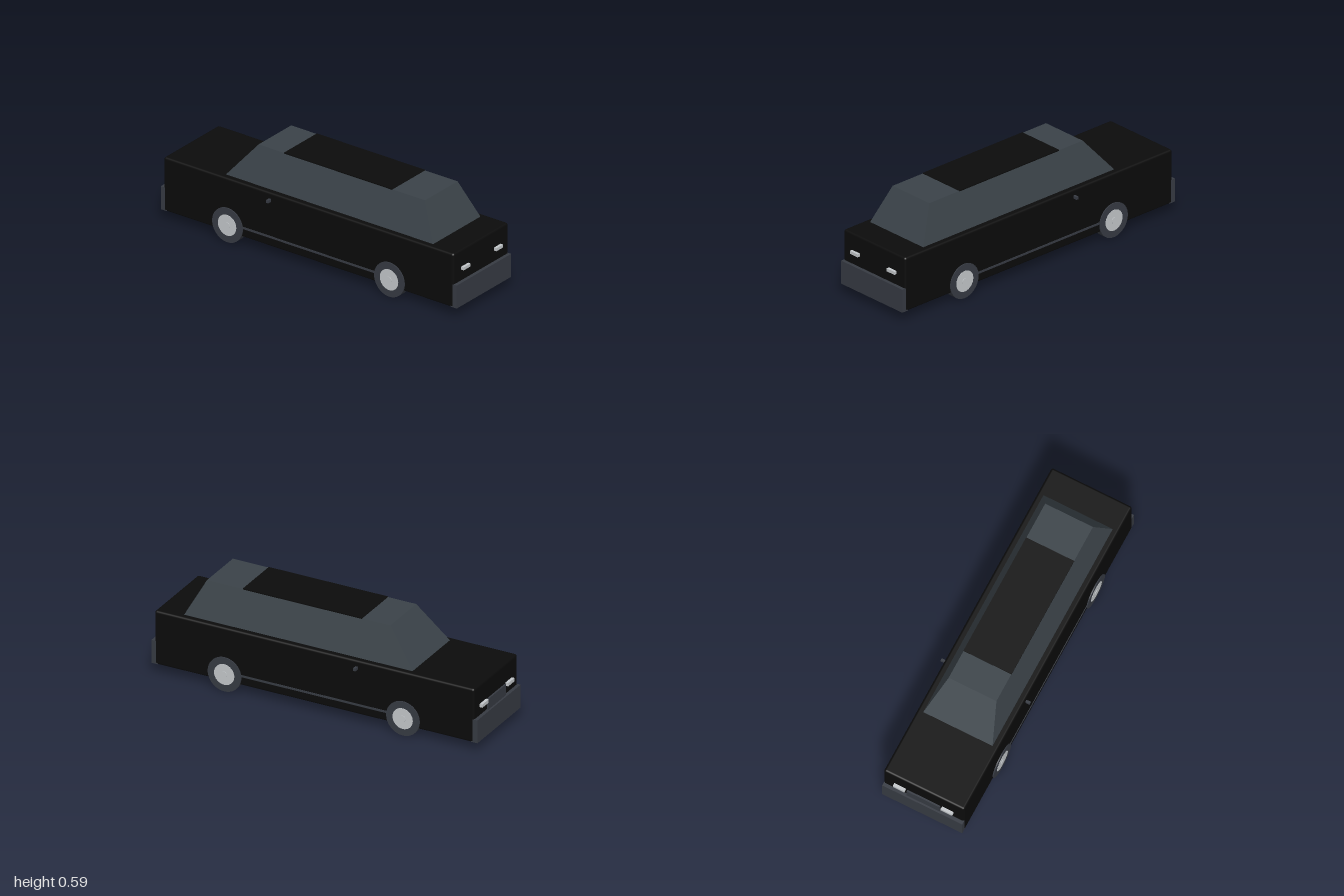
import * as THREE from 'three';
import { RoundedBoxGeometry } from 'three/addons/geometries/RoundedBoxGeometry.js';

function material(name, color) {
  const m = new THREE.MeshStandardMaterial({ color });
  m.name = name;
  return m;
}

export function createModel() {
  const car = new THREE.Group();
  car.name = 'limousine';
  const paint = material('black paint', 0x0b0b0b);
  const glass = material('tinted glass', 0x3a4248);
  const trim = material('dark grey trim', 0x363a42);
  const silver = material('silver', 0xc2c6c9);

  const add = (name, geometry, mat, parent = car) => {
    const mesh = new THREE.Mesh(geometry, mat);
    mesh.name = name;
    parent.add(mesh);
    return mesh;
  };
  // Box given by its limits on each axis
  const box = (name, mat, [x0, x1], [y0, y1], [z0, z1]) =>
    add(name, new THREE.BoxGeometry(x1 - x0, y1 - y0, z1 - z0), mat)
      .position.set((x0 + x1) / 2, (y0 + y1) / 2, (z0 + z1) / 2);

  // Long body with softened edges
  add('body', new RoundedBoxGeometry(0.488, 0.322, 1.96, 3, 0.013), paint).position.y = 0.219;

  // Tapered glass cabin
  const cabin = new THREE.BoxGeometry(1, 1, 1).toNonIndexed();
  const p = cabin.attributes.position;
  for (let i = 0; i < p.count; i++) {
    const top = p.getY(i) > 0;
    const front = p.getZ(i) > 0;
    const halfWidth = top ? 0.145 : 0.211;
    const z = top ? (front ? 0.712 : -0.413) : (front ? 0.818 : -0.586);
    p.setXYZ(i, Math.sign(p.getX(i)) * halfWidth, top ? 0.586 : 0.378, z);
  }
  cabin.computeVertexNormals();
  add('cabin', cabin, glass);
  box('roofPanel', paint, [-0.146, 0.146], [0.581, 0.589], [-0.24, 0.492]);

  // Bumpers and rear plate
  box('frontBumper', trim, [-0.243, 0.243], [0.06, 0.198], [0.96, 1]);
  box('rearBumper', trim, [-0.243, 0.243], [0.06, 0.198], [-1, -0.96]);
  box('rearPlate', trim, [-0.1, 0.1], [0.195, 0.262], [-0.99, -0.975]);

  // Tyre ring with an open centre, turned around the axle
  const tyreProfile = [[0.06, -0.025], [0.102, -0.025], [0.102, 0.025], [0.06, 0.025], [0.06, -0.025]];
  const tyreShape = new THREE.Shape().absarc(0, 0, tyreProfile[1][0], 0, Math.PI * 2);
  tyreShape.holes.push(new THREE.Path().absarc(0, 0, 0.06, 0, Math.PI * 2, true));
  const tyre = new THREE.ExtrudeGeometry(tyreShape, { depth: 0.05, bevelEnabled: false, curveSegments: 32 })
    .translate(0, 0, -0.025).rotateY(Math.PI / 2);
  const hub = new THREE.CylinderGeometry(0.062, 0.062, 0.053, 32).rotateZ(Math.PI / 2);
  const cap = new THREE.CylinderGeometry(0.018, 0.018, 0.058, 20).rotateZ(Math.PI / 2);

  for (const side of [-1, 1]) {
    const label = side > 0 ? 'left' : 'right';
    const span = (a, b) => (side > 0 ? [a, b] : [-b, -a]);

    // Lamps
    box(label + 'Headlight', silver, span(0.115, 0.176), [0.262, 0.28], [0.975, 0.997]);
    box(label + 'RearLight', silver, span(0.11, 0.18), [0.246, 0.266], [-0.997, -0.975]);

    // Side mirror and sill strip
    box(label + 'Mirror', trim, span(0.235, 0.27), [0.328, 0.345], [-0.267, -0.253]);
    box(label + 'SillStrip', trim, span(0.24, 0.247), [0.109, 0.121], [-0.545, 0.549]);

    // Wheels
    for (const [end, z] of [['Front', 0.549], ['Rear', -0.546]]) {
      const wheel = new THREE.Group();
      wheel.name = label + end + 'Wheel';
      wheel.position.set(side * 0.225, 0.102, z);
      add('tyre', tyre, trim, wheel);
      add('hub', hub, silver, wheel);
      add('hubCap', cap, silver, wheel);
      car.add(wheel);
    }
  }
  return car;
}
